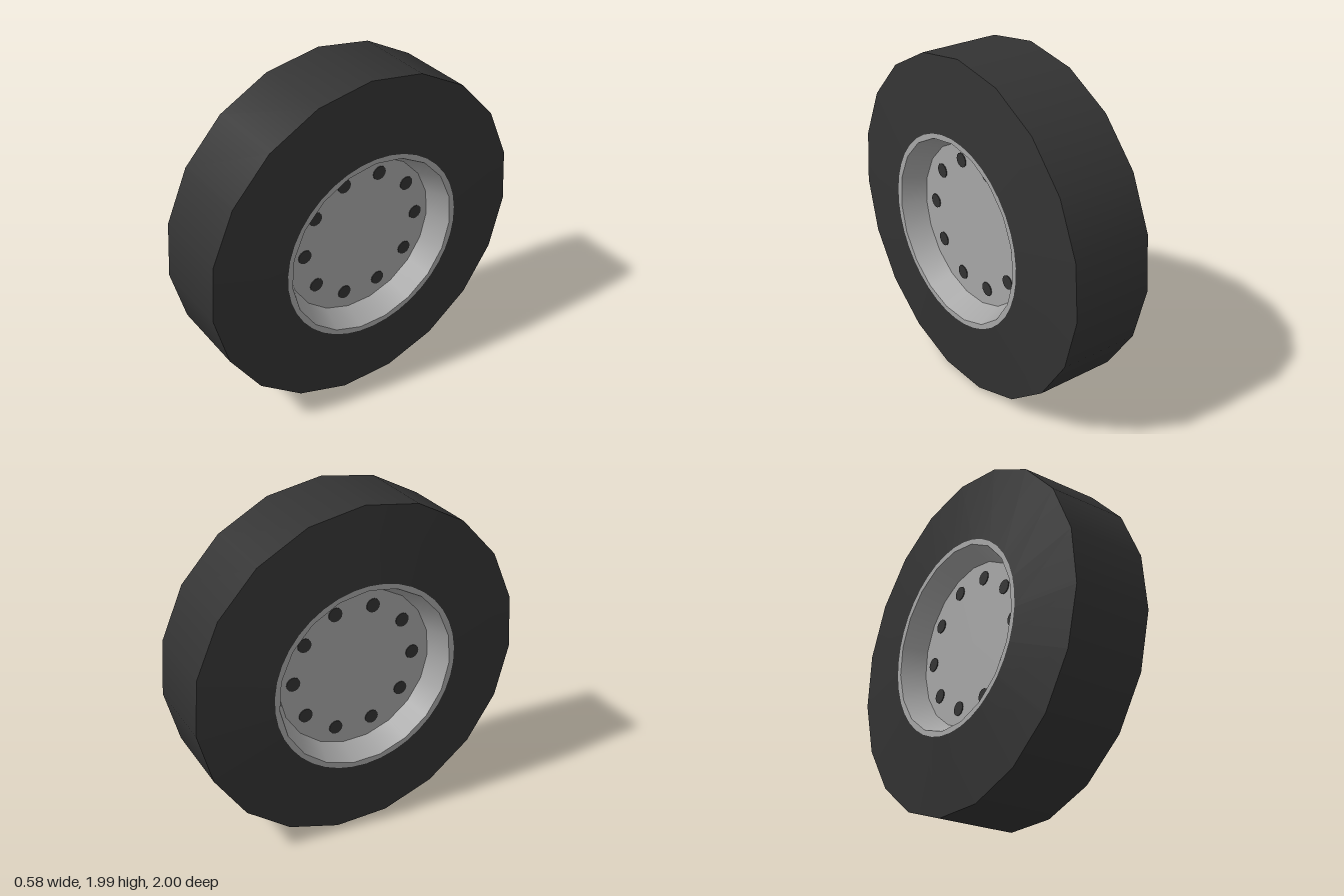
import * as THREE from 'three';

const SIDES = 19;
const RADIUS = 1.0034;
const CENTRE_Y = RADIUS * Math.cos(Math.PI / SIDES);

export function createModel() {
  const rubber = new THREE.MeshStandardMaterial({ color: 0x333333 });
  rubber.name = 'dark rubber';
  const metal = new THREE.MeshStandardMaterial({ color: 0xa6a6a6 });
  metal.name = 'grey metal';

  const wheel = new THREE.Group();
  wheel.name = 'wheel';
  wheel.position.y = CENTRE_Y;

  const add = (name, geometry, material) => {
    const mesh = new THREE.Mesh(geometry, material);
    mesh.name = name;
    wheel.add(mesh);
    return mesh;
  };

  // One band of revolution around the x axle, from [radius, x] to [radius, x];
  // separate bands keep a sharp edge between them
  const band = (name, from, to, material) => {
    const points = [from, to].map(([r, x]) => new THREE.Vector2(r, x));
    const geometry = new THREE.LatheGeometry(points, SIDES, -Math.PI / 2);
    geometry.rotateZ(-Math.PI / 2);
    return add(name, geometry, material);
  };

  // Tyre tread
  band('tread', [RADIUS, -0.24], [RADIUS, 0.24], rubber);

  // Each side: hub disc, recess wall, flange and sidewall
  const profile = [[0, 0.15], [0.48, 0.15], [0.54, 0.288], [0.565, 0.288], [RADIUS, 0.24]];
  const parts = [['hubDisc', metal], ['rimWall', metal], ['rimFlange', metal], ['sidewall', rubber]];
  for (const side of [1, -1]) {
    const label = side > 0 ? 'Left' : 'Right';
    parts.forEach(([name, material], i) => {
      const a = [profile[i][0], profile[i][1] * side];
      const b = [profile[i + 1][0], profile[i + 1][1] * side];
      if (side > 0) band(name + label, b, a, material);
      else band(name + label, a, b, material);
    });

    // Rounder lip over the flange
    const lip = new THREE.RingGeometry(0.54, 0.567, SIDES * 2, 1, Math.PI / 2);
    lip.rotateY(side * Math.PI / 2);
    add('rimLip' + label, lip, metal).position.x = side * 0.2895;

    // Ten wheel bolts
    for (let i = 0; i < 10; i++) {
      const angle = (i / 10) * Math.PI * 2;
      const bolt = new THREE.CylinderGeometry(0.042, 0.042, 0.02, 14);
      bolt.rotateZ(Math.PI / 2);
      add('bolt' + label + (i + 1), bolt, rubber).position.set(
        side * 0.145, 0.005 + 0.38 * Math.sin(angle), -0.01 + 0.38 * Math.cos(angle));
    }
  }

  const model = new THREE.Group();
  model.name = 'wheelModel';
  model.add(wheel);
  return model;
}
